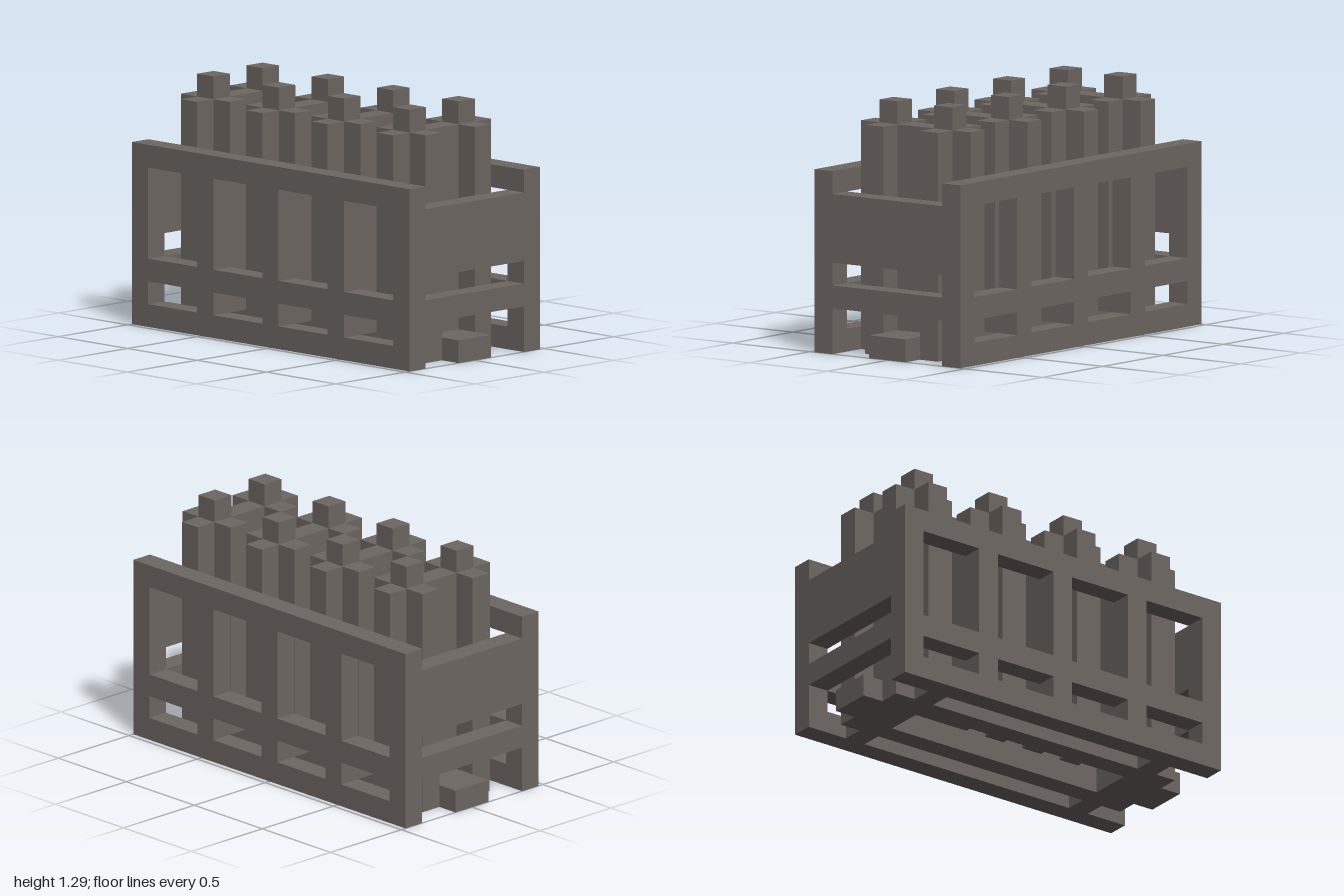
import * as THREE from 'three';

const U = 2 / 17; // one building block

export function createModel() {
  const group = new THREE.Group();
  const stone = new THREE.MeshStandardMaterial({ color: 0x6e6763 });
  stone.name = 'warm grey';

  // Box given by its limits in blocks
  function block(name, x0, x1, y0, y1, z0, z1) {
    const mesh = new THREE.Mesh(
      new THREE.BoxGeometry((x1 - x0) * U, (y1 - y0) * U, (z1 - z0) * U), stone);
    mesh.position.set((x0 + x1) / 2 * U, (y0 + y1) / 2 * U, (z0 + z1) / 2 * U);
    mesh.name = name;
    group.add(mesh);
  }

  function rect(target, a0, a1, b0, b1) {
    target.moveTo(a0 * U, b0 * U);
    target.lineTo(a1 * U, b0 * U);
    target.lineTo(a1 * U, b1 * U);
    target.lineTo(a0 * U, b1 * U);
    target.closePath();
    return target;
  }

  const centres = [-6, -2, 2, 6];

  // Side walls with tall upper and low lower windows
  const wall = rect(new THREE.Shape(), -8.5, 8.5, 0, 8);
  for (const c of centres) {
    wall.holes.push(rect(new THREE.Path(), c - 1.5, c + 1.5, 3, 7));
    wall.holes.push(rect(new THREE.Path(), c - 1.5, c + 1.5, 1, 2));
  }
  const wallGeometry = new THREE.ExtrudeGeometry(wall, { depth: U, bevelEnabled: false });
  wallGeometry.rotateY(-Math.PI / 2);
  for (const [name, x] of [['leftWall', 4], ['rightWall', -3]]) {
    const mesh = new THREE.Mesh(wallGeometry, stone);
    mesh.position.x = x * U;
    mesh.name = name;
    group.add(mesh);
  }

  // End panels, rails, floor ends and projecting blocks
  for (const s of [-1, 1]) {
    const span = (a, b) => (s > 0 ? [a, b] : [-b, -a]);
    block('endPanel', -3, 3, 4, 7, ...span(7.5, 8.5));
    block('endRail', -3, 3, 2, 3, ...span(7.5, 8.5));
    block('endFloorBar', -3, 3, 0, 1, ...span(5.5, 6.5));
    block('endBlock', -1, 1, 0, 1, ...span(6.5, 8.5));
  }

  // Floor beams along the length and cross bars between the clusters
  for (const x of [-2, 1]) block('floorBeam', x, x + 1, 0, 1, -7.5, 7.5);
  for (const z of [-4, 0, 4]) block('crossBar', -3, 3, 1, 2, z - 0.5, z + 0.5);
  block('floorFiller', -1, 1, 1, 2, -3.5, -2.5);

  // Clusters: a cross-shaped column on each side joined by a slab
  for (const c of centres) {
    block('clusterSlab', -1, 1, 1, 10, c - 0.5, c + 0.5);
    for (const x of [-2, 1]) {
      const arm = x > 0 ? 2 : -3;
      block('columnCore', x, x + 1, 1, 11, c - 0.5, c + 0.5);
      block('columnOuterArm', arm, arm + 1, 1, 10, c - 0.5, c + 0.5);
      block('columnFrontArm', x, x + 1, 1, 10, c + 0.5, c + 1.5);
      block('columnBackArm', x, x + 1, 1, 10, c - 1.5, c - 0.5);
    }
  }
  return group;
}
